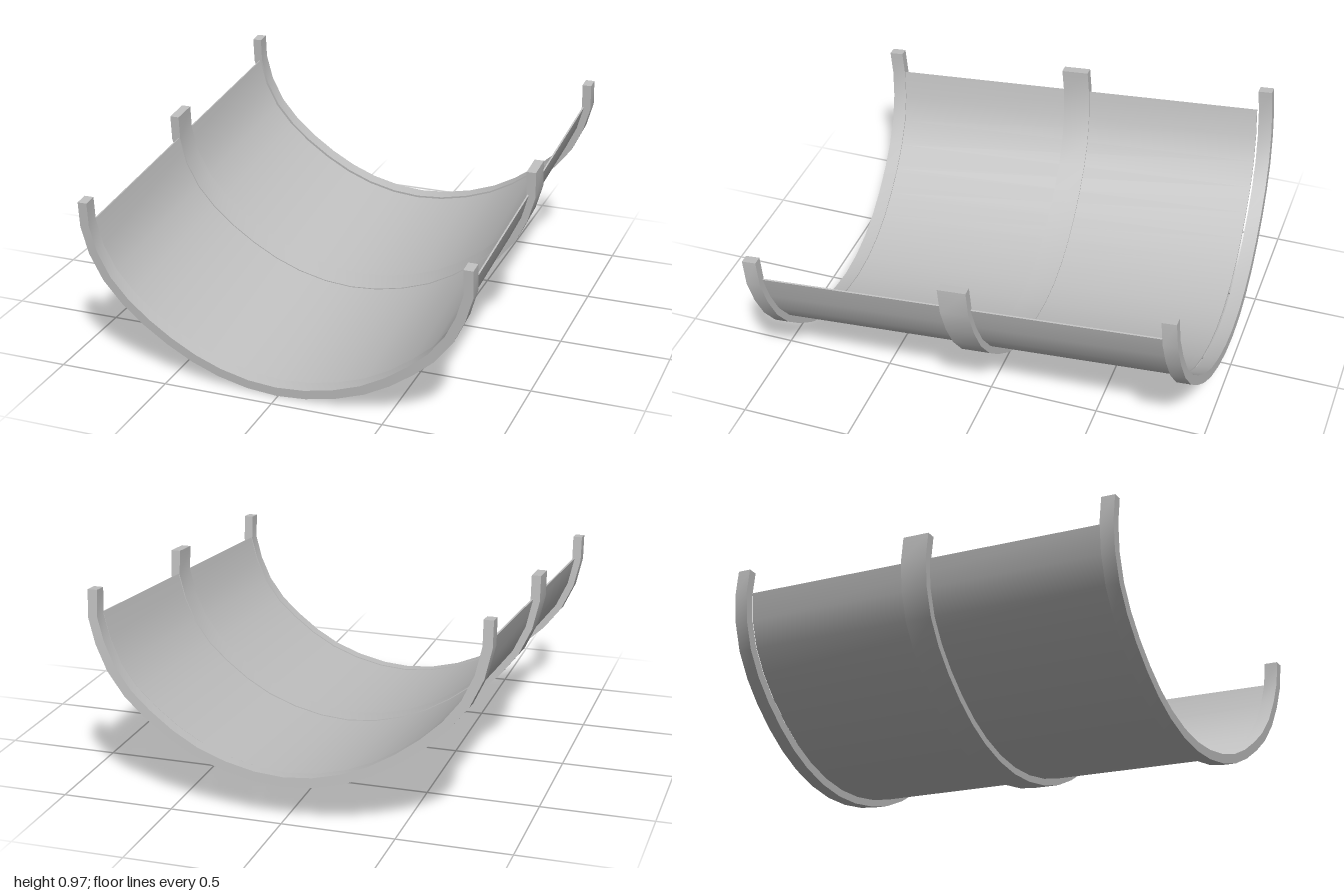
import * as THREE from 'three';
import { toCreasedNormals } from 'three/addons/utils/BufferGeometryUtils.js';

// Outer line of the trough arc, from the right rim round to the left rim
const ARC = [
  [-0.88, 0.685], [-0.852, 0.556], [-0.796, 0.434], [-0.716, 0.331], [-0.622, 0.243],
  [-0.514, 0.163], [-0.4, 0.096], [-0.28, 0.046], [-0.145, 0.012], [-0.01, 0],
  [0.124, 0.01], [0.26, 0.04], [0.392, 0.088], [0.509, 0.153], [0.617, 0.232],
  [0.707, 0.312], [0.786, 0.415], [0.84, 0.528], [0.874, 0.645],
].map(([x, y]) => new THREE.Vector2(x, y));

// Rib line: the arc with an upright arm at each end
const RIB = [new THREE.Vector2(-0.88, 0.8), ...ARC, new THREE.Vector2(0.874, 0.765)];

// Moves a line inwards, square to its neighbouring segments
function inset(line, d) {
  return line.map((p, i) => {
    const a = line[Math.max(i - 1, 0)], b = line[Math.min(i + 1, line.length - 1)];
    const t = b.clone().sub(a).normalize();
    return new THREE.Vector2(p.x - t.y * d, p.y + t.x * d);
  });
}

// Extrudes the band between two insets of a line, from z0 to z1
function strip(name, line, d0, d1, z0, z1, material) {
  const shape = new THREE.Shape([...inset(line, d0), ...inset(line, d1).reverse()]);
  const raw = new THREE.ExtrudeGeometry(shape, { depth: z1 - z0, bevelEnabled: false });
  raw.translate(0, 0, z0);
  const mesh = new THREE.Mesh(toCreasedNormals(raw, 0.5), material);
  mesh.name = name;
  return mesh;
}

export function createModel() {
  const metal = new THREE.MeshStandardMaterial({ color: 0xc0c0c0 });
  metal.name = 'grey metal';

  const trough = new THREE.Group();
  trough.name = 'trough';

  // Thin curved channel
  trough.add(strip('channelShell', ARC, 0.031, 0.038, -0.892, 0.902, metal));

  // Supporting ribs: narrow at both ends, double width in the middle
  const ribs = [['backRib', -0.966, -0.902], ['middleRib', -0.064, 0.064], ['frontRib', 0.902, 0.966]];
  for (const [name, z0, z1] of ribs) trough.add(strip(name, RIB, 0, 0.042, z0, z1, metal));

  // The whole trough slopes down towards the front
  trough.rotation.x = THREE.MathUtils.degToRad(5);
  trough.position.set(0.003, 0.0845, -0.034);

  const model = new THREE.Group();
  model.name = 'slopedTrough';
  model.add(trough);
  return model;
}
